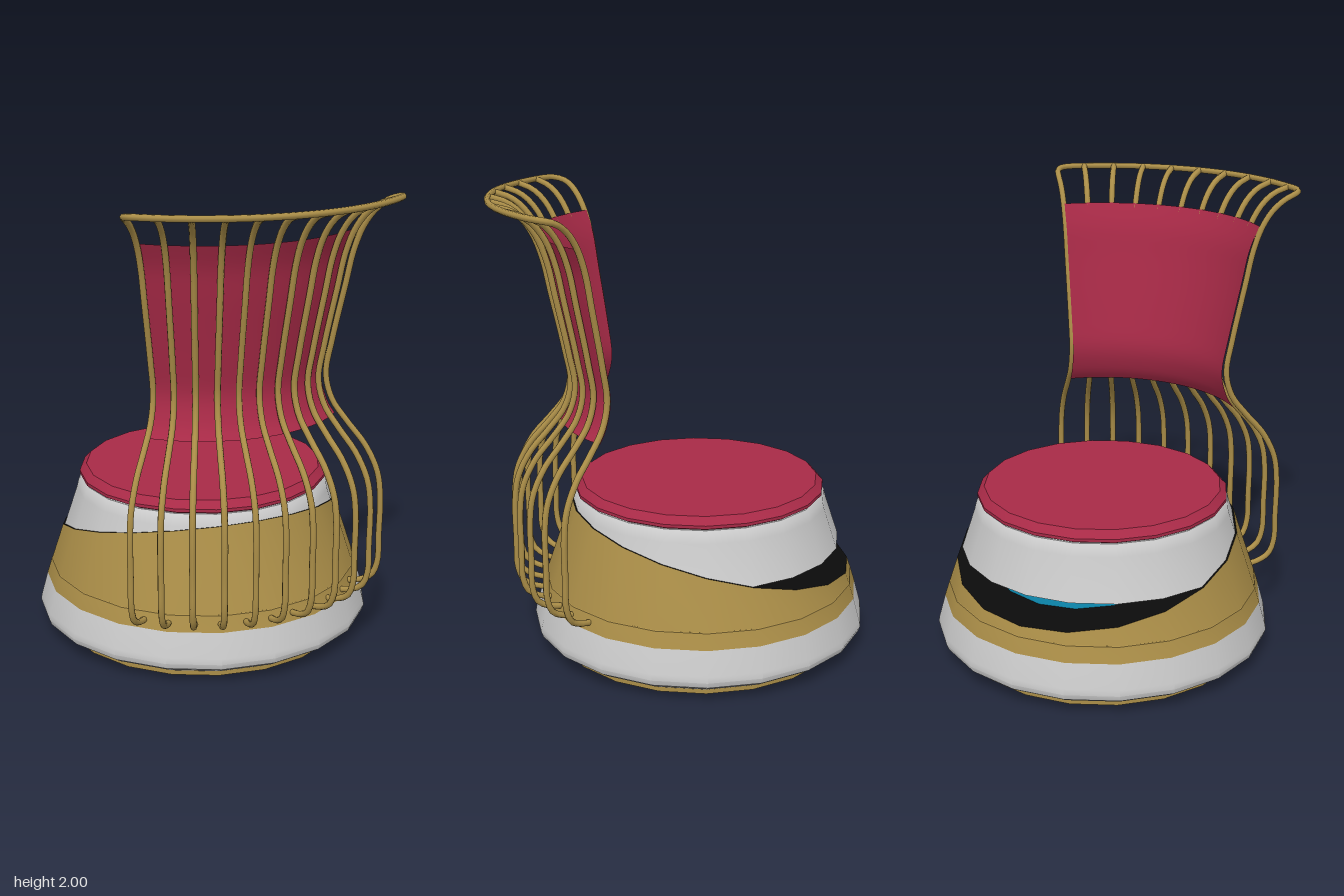
import * as THREE from 'three';
import { toCreasedNormals } from 'three/addons/utils/BufferGeometryUtils.js';

const SIDES = 20;
const HALF_ANGLE = Math.PI / 4;
const WIRES = 11;
const WIRE_RADIUS = 0.0135;

const material = (color) => new THREE.MeshStandardMaterial({ color, side: THREE.DoubleSide });
const vec2 = (pairs) => pairs.map(([r, y]) => new THREE.Vector2(r, y));

export function createModel() {
  const model = new THREE.Group();
  // everything turns about one vertical axis, set a little behind the origin
  model.position.z = -0.08;
  const root = new THREE.Group();
  root.name = 'chair';
  root.add(model);

  const gold = material(0xab8e48);
  const grey = material(0xcccccc);
  const fabric = material(0xa82a47);
  const black = material(0x0b0b0b);
  const blue = material(0x0d88ae);

  function add(name, geometry, mat) {
    const mesh = new THREE.Mesh(geometry, mat);
    mesh.name = name;
    model.add(mesh);
    return mesh;
  }
  const turned = (name, profile, mat) =>
    add(name, toCreasedNormals(new THREE.LatheGeometry(vec2(profile), SIDES), 0.6), mat);

  // Foot: gold ring around a grey disc
  turned('footRing', [[0.525, 0], [0.64, 0], [0.64, 0.02]], gold);
  turned('footDisc', [[0, 0.001], [0.525, 0.001]], grey);

  // Bulging base and the gold band above it
  turned('base', [[0.64, 0.02], [0.70, 0.053], [0.733, 0.075], [0.742, 0.1], [0.737, 0.125], [0.708, 0.23]], grey);
  turned('lowerBand', [[0.708, 0.23], [0.687, 0.297], [0.683, 0.3]], gold);

  // Conical shell whose top is cut by a plane sloping down to the entry side
  const cutHeight = (c) => (0.509 + 0.198 * c) / (1 + 0.084 * c);
  const coneRadius = (y) => 0.785 - y / 3;
  function slopeRim(geometry, isRim) {
    const p = geometry.attributes.position;
    for (let i = 0; i < p.count; i++) {
      const x = p.getX(i), z = p.getZ(i), r = Math.hypot(x, z);
      if (!isRim(p.getY(i), r)) continue;
      const y = cutHeight(z / r), k = coneRadius(y) / r;
      p.setXYZ(i, x * k, y, z * k);
    }
    return toCreasedNormals(geometry, 0.6);
  }
  const shell = new THREE.LatheGeometry(vec2([[0.685, 0.3], [0.6, 0.5]]), SIDES);
  add('slopedShell', slopeRim(shell, (y) => y > 0.4), gold);
  const cap = new THREE.LatheGeometry(vec2([[0.6, 0.509], [0, 0.509]]), SIDES);
  add('slopedCap', slopeRim(cap, (y, r) => r > 0.1), black);

  // Swivel core, seat drum and cushion
  turned('swivelCore', [[0.54, 0.3], [0.51, 0.46]], blue);
  turned('seatUnderside', [[0, 0.46], [0.624, 0.46]], black);
  turned('seatDrum', [[0.624, 0.46], [0.564, 0.64], [0.557, 0.67], [0.54, 0.69], [0, 0.69]], grey);
  turned('cushion', [[0.53, 0.69], [0.55, 0.7], [0.55, 0.714], [0.52, 0.745], [0, 0.745]], fabric);

  // Wire side profile: radius from the axis and height
  const polar = (r, y, a) => new THREE.Vector3(r * Math.sin(a), y, r * Math.cos(a));
  const profile = [
    [0.68, 0.262], [0.74, 0.275], [0.79, 0.305], [0.815, 0.37], [0.817, 0.5], [0.817, 0.68],
    [0.80, 0.79], [0.745, 0.9], [0.66, 1.0], [0.592, 1.09], [0.562, 1.2], [0.585, 1.35],
    [0.638, 1.6], [0.668, 1.74], [0.707, 1.845], [0.755, 1.915], [0.81, 1.958],
  ];
  const rail = [0.885, 1.982];
  const tube = (name, points, segments) =>
    add(name, new THREE.TubeGeometry(new THREE.CatmullRomCurve3(points, false, 'centripetal'), segments, WIRE_RADIUS, 8), gold);

  // Inner wires
  for (let i = 1; i < WIRES - 1; i++) {
    const a = HALF_ANGLE * ((2 * i) / (WIRES - 1) - 1);
    tube('backWire', [...profile, rail].map(([r, y]) => polar(r, y, a)), 64);
  }

  // Outer wires running on into the top rail as one bent rod
  const end = (s) => [
    ...profile.map(([r, y]) => polar(r, y, s * HALF_ANGLE)),
    polar(0.85, 1.973, s * 0.775),
    polar(0.876, 1.98, s * 0.745),
    polar(...rail, s * 0.69),
  ];
  const arc = [];
  for (let i = -5; i <= 5; i++) arc.push(polar(...rail, i * 0.12));
  tube('outerFrame', [...end(-1), ...arc, ...end(1).reverse()], 200);

  // Closed wire feet
  for (let i = 0; i < WIRES; i++) {
    const foot = add('wireFoot', new THREE.SphereGeometry(WIRE_RADIUS, 8, 6), gold);
    foot.position.copy(polar(0.68, 0.262, HALF_ANGLE * ((2 * i) / (WIRES - 1) - 1)));
  }

  // Upholstered panel lining the inside of the wires
  const panelCurve = new THREE.SplineCurve(vec2([
    [0.605, 1.03], [0.567, 1.09], [0.541, 1.2], [0.566, 1.35], [0.62, 1.6], [0.65, 1.74], [0.692, 1.845],
  ]));
  const panel = new THREE.LatheGeometry(panelCurve.getPoints(24), 30, -HALF_ANGLE, 2 * HALF_ANGLE);
  add('backPanel', panel, fabric);

  return root;
}
